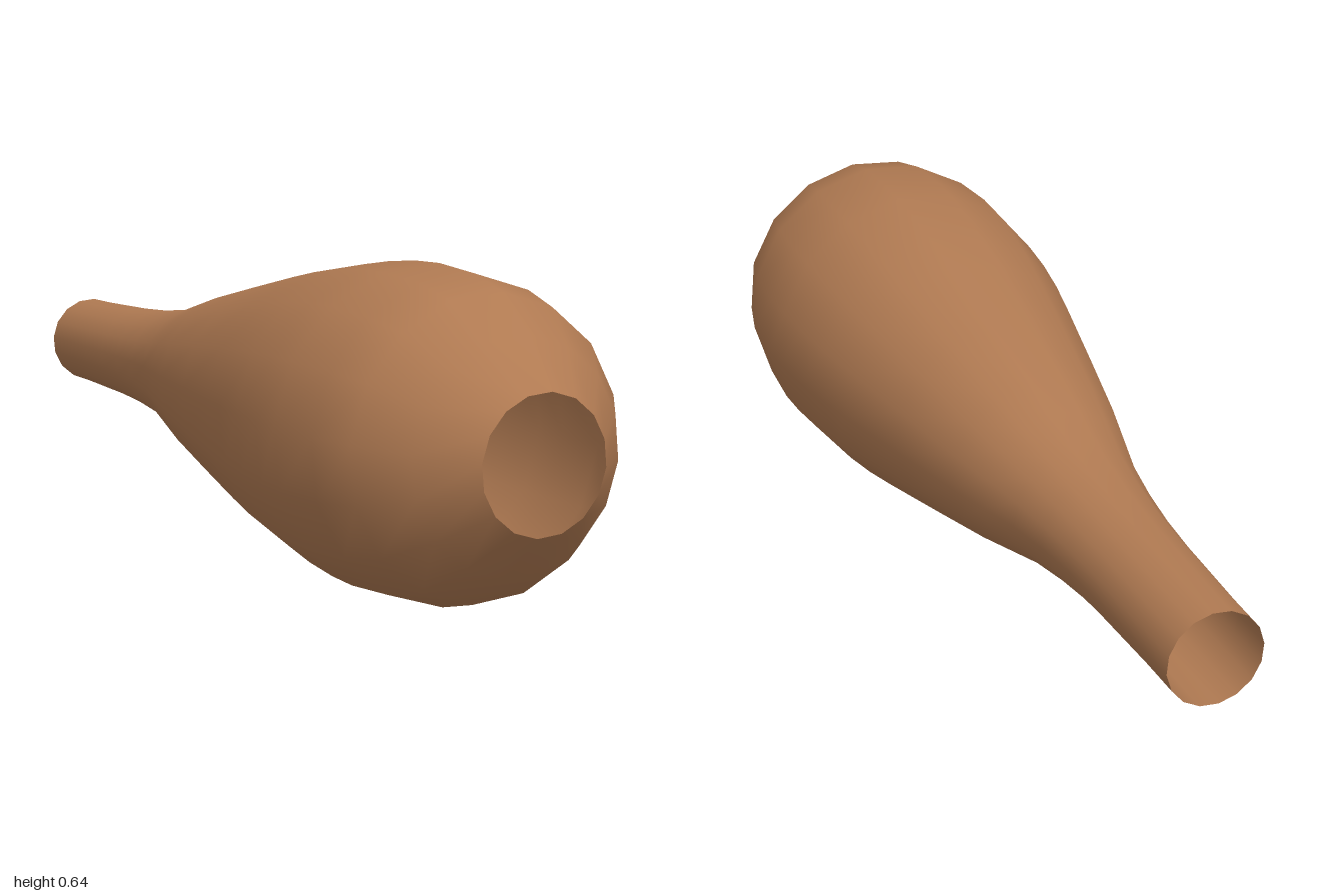
import * as THREE from 'three';

export function createModel() {
  const group = new THREE.Group();
  const clay = new THREE.MeshStandardMaterial({ color: 0xb07a52, side: THREE.DoubleSide });
  clay.name = 'brown clay';

  // Radius and position along the axis, from the narrow neck to the open front
  const profile = [
    [0.098, -1], [0.099, -0.9], [0.102, -0.8], [0.105, -0.7], [0.111, -0.6], [0.122, -0.5],
    [0.138, -0.4], [0.164, -0.3], [0.19, -0.2], [0.234, 0], [0.277, 0.2], [0.297, 0.3], [0.312, 0.4],
    [0.321, 0.5], [0.3235, 0.58], [0.315, 0.71], [0.29, 0.81], [0.222, 0.91], [0.132, 1],
  ].map(([r, z]) => new THREE.Vector2(r, z));

  // Hollow sixteen-sided shell, open at both ends, lying along z
  const shell = new THREE.LatheGeometry(profile, 16, THREE.MathUtils.degToRad(-5.9));
  shell.rotateX(Math.PI / 2);
  const body = new THREE.Mesh(shell, clay);
  body.name = 'hollowBulbAndNeck';
  body.position.y = 0.323;
  group.add(body);
  return group;
}
